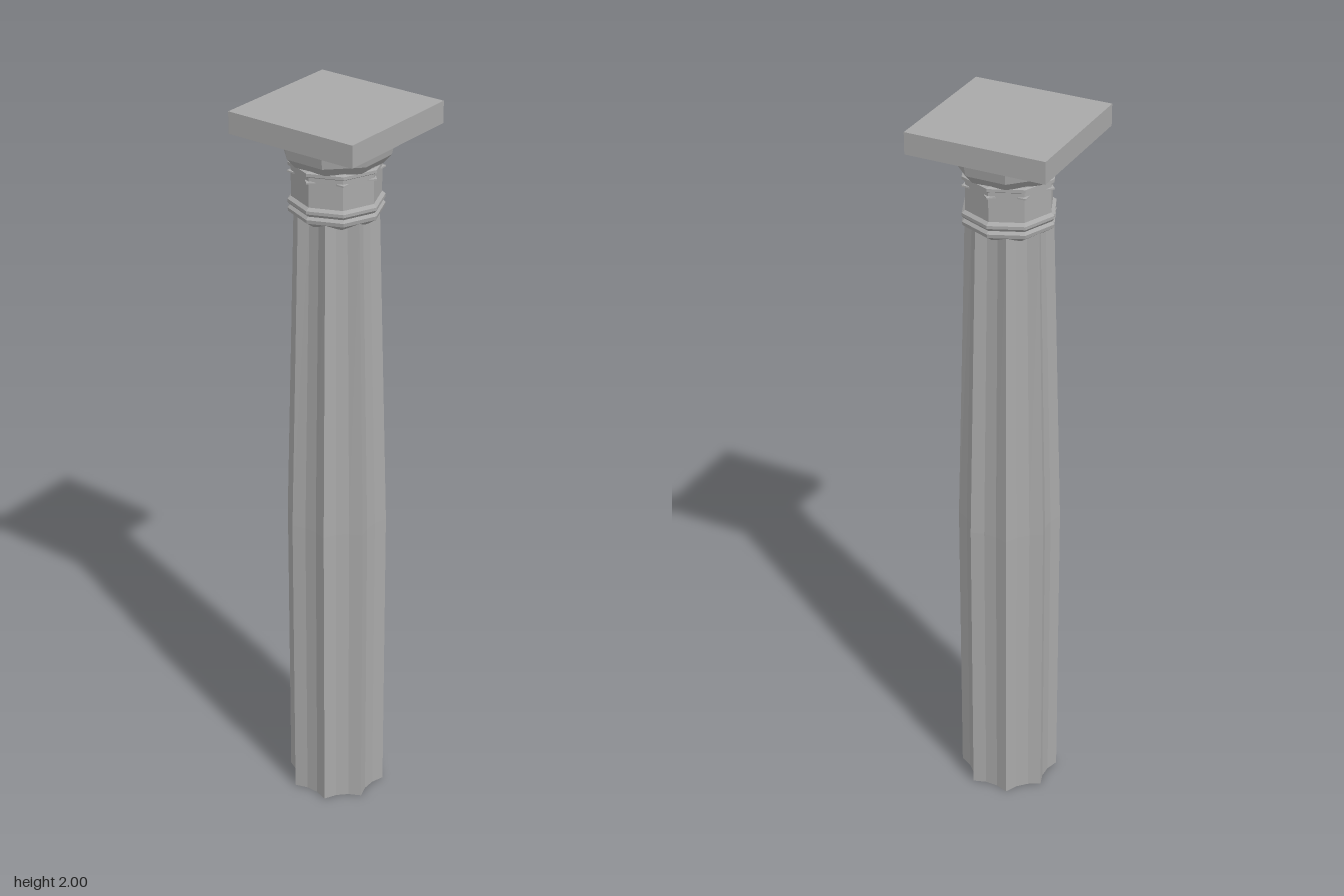
import * as THREE from 'three';

const SIDES = 8;
const STEP = (Math.PI * 2) / SIDES;

// Horizontal outline: an octagon whose sides may be hollowed into flutes
function section(radius, offset, depth) {
  const pts = [];
  for (let i = 0; i < SIDES; i++) {
    const a = offset + i * STEP, b = a + STEP, mid = a + STEP / 2;
    const ax = Math.sin(a) * radius, az = Math.cos(a) * radius;
    pts.push([ax, az]);
    if (!depth) continue;
    for (const t of [1 / 3, 2 / 3]) {
      pts.push([
        THREE.MathUtils.lerp(ax, Math.sin(b) * radius, t) - Math.sin(mid) * depth,
        THREE.MathUtils.lerp(az, Math.cos(b) * radius, t) - Math.cos(mid) * depth,
      ]);
    }
  }
  return pts;
}

// Faceted skin through a profile of [y, corner radius, flute depth]
function loft(profile, offset) {
  const rings = profile.map(([y, r, depth = 0]) =>
    section(r, offset, depth).map(([x, z]) => [x, y, z]));
  const pos = [];
  for (let j = 0; j < rings.length - 1; j++) {
    const lo = rings[j], hi = rings[j + 1], n = lo.length;
    for (let i = 0; i < n; i++) {
      const k = (i + 1) % n;
      pos.push(...lo[i], ...lo[k], ...hi[k], ...lo[i], ...hi[k], ...hi[i]);
    }
  }
  const geo = new THREE.BufferGeometry();
  geo.setAttribute('position', new THREE.Float32BufferAttribute(pos, 3));
  geo.computeVertexNormals();
  return geo;
}

export function createModel() {
  const column = new THREE.Group();
  column.name = 'column';
  const stone = new THREE.MeshStandardMaterial({
    color: 0xa8a8a8, flatShading: true, side: THREE.DoubleSide,
  });
  stone.name = 'grey stone';

  const add = (name, geo) => {
    const mesh = new THREE.Mesh(geo, stone);
    mesh.name = name;
    column.add(mesh);
    return mesh;
  };

  // Fluted shaft, straight below and tapering above, open underneath
  add('shaft', loft([
    [0, 0.135, 0.011],
    [0.86, 0.135, 0.011],
    [1.74, 0.110, 0.010],
  ], STEP / 2));

  // Double-ridged collar; its sloping underside runs into the flutes
  add('collar', loft([
    [1.715, 0.090],
    [1.735, 0.120],
    [1.745, 0.122],
    [1.752, 0.115],
    [1.760, 0.122],
    [1.768, 0.122],
    [1.775, 0.113],
  ], 0));

  // Plain octagonal neck
  add('neck', loft([[1.77, 0.113], [1.87, 0.113]], 0));

  // Thin scalloped ring showing only at the neck corners
  add('neckRing', loft([
    [1.836, 0.105, 0.008],
    [1.838, 0.122, 0.012],
    [1.842, 0.122, 0.012],
    [1.844, 0.105, 0.008],
  ], 0));

  // Ring under the flared capital
  add('upperRing', loft([
    [1.852, 0.112],
    [1.857, 0.121],
    [1.865, 0.121],
    [1.870, 0.108],
  ], 0));

  // Flared capital
  add('capital', loft([
    [1.862, 0.105],
    [1.866, 0.117],
    [1.890, 0.138],
    [1.930, 0.146],
    [1.945, 0.141],
  ], STEP / 2));

  // Square top slab
  add('topSlab', new THREE.BoxGeometry(0.37, 0.057, 0.37)).position.y = 1.9715;

  return column;
}
